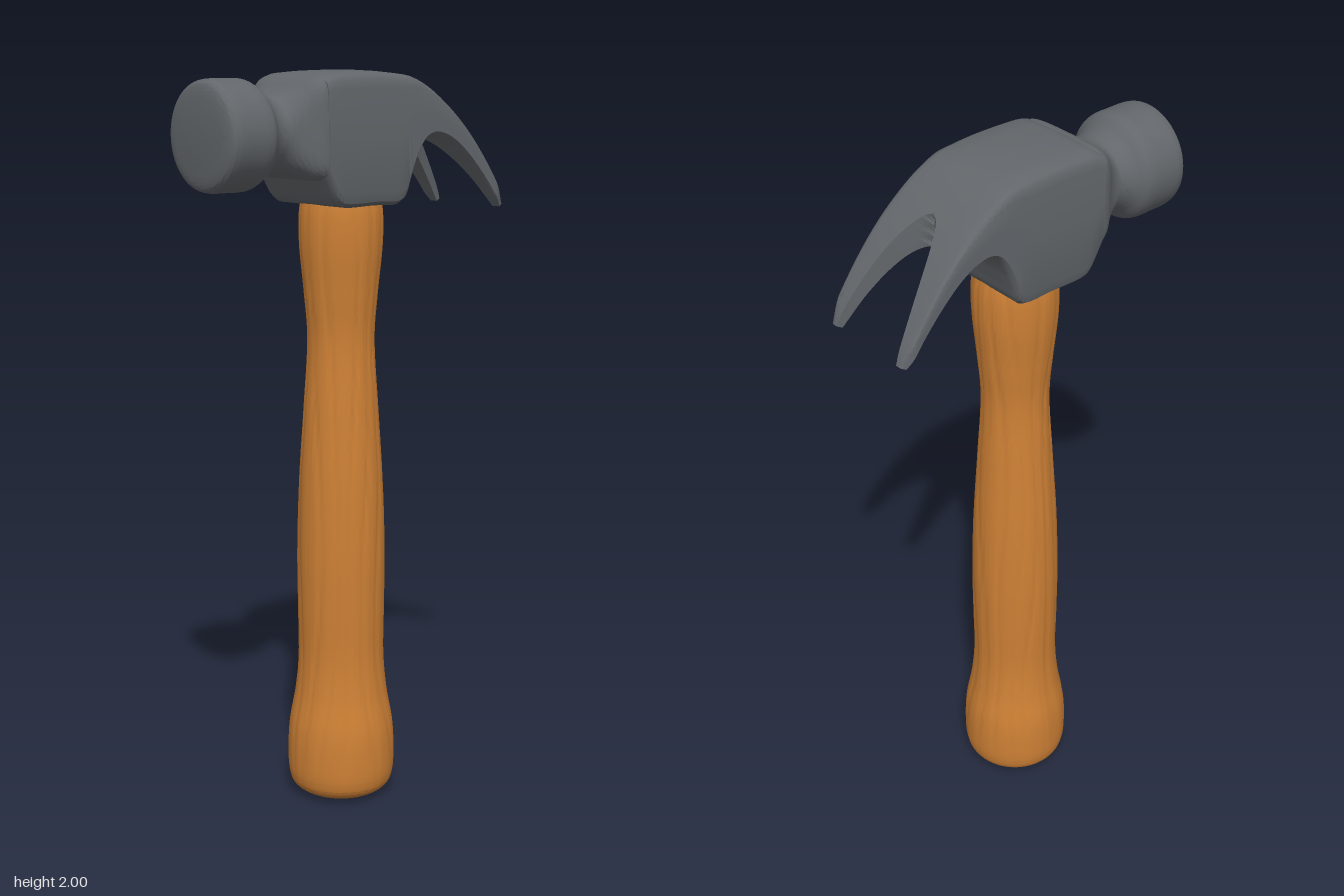
import * as THREE from 'three';
import { toCreasedNormals } from 'three/addons/utils/BufferGeometryUtils.js';

const steel = new THREE.MeshStandardMaterial({ color: 0x63676b });
steel.name = 'grey steel';
const wood = new THREE.MeshStandardMaterial({ color: 0xcd8035 });
wood.name = 'orange wood';

// Skin a list of closed rings and cap both ends
function loft(rings, crease) {
  const n = rings[0].length, last = (rings.length - 1) * n, index = [];
  for (let i = 0; i < rings.length - 1; i++) {
    for (let j = 0; j < n; j++) {
      const a = i * n + j, b = i * n + (j + 1) % n;
      index.push(a, a + n, b, b, a + n, b + n);
    }
  }
  for (let j = 1; j < n - 1; j++) {
    index.push(0, j, j + 1, last, last + j + 1, last + j);
  }
  const geometry = new THREE.BufferGeometry().setFromPoints(rings.flat());
  geometry.setIndex(index);
  return toCreasedNormals(geometry, crease);
}

function addPart(group, name, geometry, material) {
  const mesh = new THREE.Mesh(geometry, material);
  mesh.name = name;
  group.add(mesh);
}

const spline = (points) =>
  new THREE.CatmullRomCurve3(points.map(([x, y, z = 0]) => new THREE.Vector3(x, y, z)));

// Turned handle with shallow wavy grain grooves
function handleGeometry() {
  const profile = spline([
    [0.07, 0], [0.11, 0.01], [0.136, 0.03], [0.146, 0.06], [0.149, 0.12], [0.145, 0.2],
    [0.128, 0.3], [0.119, 0.4], [0.12, 0.55], [0.121, 0.7], [0.115, 0.9], [0.102, 1.1],
    [0.091, 1.3], [0.1, 1.42], [0.112, 1.55], [0.112, 1.63], [0.105, 1.68]]);
  const rings = [];
  for (let i = 0; i <= 150; i++) {
    const p = profile.getPoint(i / 150), ring = [];
    const fade = THREE.MathUtils.smoothstep(p.y, 0.03, 0.2);
    for (let j = 0; j < 120; j++) {
      const a = j / 120 * Math.PI * 2;
      const wave = Math.sin(a * 13 + 2.4 * Math.sin(p.y * 3.2 + a * 2) + 1.2 * Math.sin(p.y * 5 - a * 3));
      const r = p.x - 0.003 * fade * Math.max(0, wave) ** 3;
      ring.push(new THREE.Vector3(-0.006 + r * Math.cos(a), p.y, r * Math.sin(a)));
    }
    rings.push(ring);
  }
  return loft(rings, 0.9);
}

// Round striking face and neck, flaring into the squared block
function neckGeometry() {
  const path = spline([ // x, half height, half depth
    [-0.466, 0.1, 0.1], [-0.462, 0.122, 0.122], [-0.455, 0.135, 0.135], [-0.44, 0.14, 0.14],
    [-0.39, 0.141, 0.141], [-0.345, 0.14, 0.14], [-0.33, 0.133, 0.136], [-0.305, 0.111, 0.115],
    [-0.275, 0.099, 0.106], [-0.24, 0.1, 0.11], [-0.215, 0.109, 0.122], [-0.19, 0.124, 0.14],
    [-0.168, 0.132, 0.146], [-0.15, 0.132, 0.146]]);
  const rings = [];
  for (let i = 0; i <= 80; i++) {
    const p = path.getPoint(i / 80), ring = [];
    const blend = THREE.MathUtils.smoothstep(p.x, -0.27, -0.16);
    const power = 2 / (2 + 5 * blend);
    const round = (v) => Math.sign(v) * Math.abs(v) ** power;
    for (let j = 0; j < 64; j++) {
      const a = j / 64 * Math.PI * 2;
      ring.push(new THREE.Vector3(p.x, 1.84 + 0.015 * blend + p.y * round(Math.sin(a)), p.z * round(Math.cos(a))));
    }
    rings.push(ring);
  }
  return loft(rings, 0.7);
}

// One half of the block and its prong; side is +1 or -1
function clawGeometry(side) {
  const top = spline([
    [-0.172, 1.98], [-0.145, 1.993], [-0.1, 1.998], [0, 2], [0.05, 1.998], [0.08, 1.995],
    [0.1, 1.992], [0.13, 1.985], [0.18, 1.96], [0.23, 1.926], [0.28, 1.884], [0.33, 1.834],
    [0.38, 1.774], [0.43, 1.704], [0.455, 1.663], [0.466, 1.636]]);
  const bottom = spline([
    [-0.168, 1.73], [-0.128, 1.665], [-0.105, 1.655], [0, 1.655], [0.08, 1.655], [0.1, 1.668],
    [0.118, 1.715], [0.137, 1.765], [0.165, 1.812], [0.195, 1.83], [0.235, 1.827], [0.28, 1.806],
    [0.335, 1.762], [0.395, 1.7], [0.432, 1.654], [0.452, 1.629]]);
  // Cross-section as [height fraction, inner-to-outer fraction]
  const section = [
    [0, 0.1], [0, 0.5], [0, 0.84], [0.03, 0.95], [0.1, 1], [0.5, 1], [0.87, 1], [0.93, 0.98],
    [0.965, 0.94], [0.985, 0.84], [0.995, 0.5], [1, 0.1], [1, 0], [0.7, 0], [0.35, 0], [0, 0]];
  const rings = [];
  for (let i = 0; i <= 150; i++) {
    const t = i / 150, lo = bottom.getPoint(t), hi = top.getPoint(t);
    const ring = section.map(([v, w]) => {
      const p = lo.clone().lerp(hi, v);
      const notch = THREE.MathUtils.clamp((p.x - 0.25) / 0.215, 0, 1);
      const inner = 0.115 * notch ** 0.55;
      const outer = 0.147 - 0.014 * THREE.MathUtils.smoothstep(p.x, 0.43, 0.47);
      p.z = side * (inner + (outer - inner) * w);
      return p;
    });
    rings.push(side > 0 ? ring : ring.reverse());
  }
  return loft(rings, 0.7);
}

export function createModel() {
  const model = new THREE.Group();
  model.name = 'clawHammer';
  addPart(model, 'handle', handleGeometry(), wood);
  const head = new THREE.Group();
  head.name = 'head';
  addPart(head, 'strikingFaceAndNeck', neckGeometry(), steel);
  addPart(head, 'frontBlockAndClaw', clawGeometry(1), steel);
  addPart(head, 'backBlockAndClaw', clawGeometry(-1), steel);
  model.add(head);
  return model;
}
